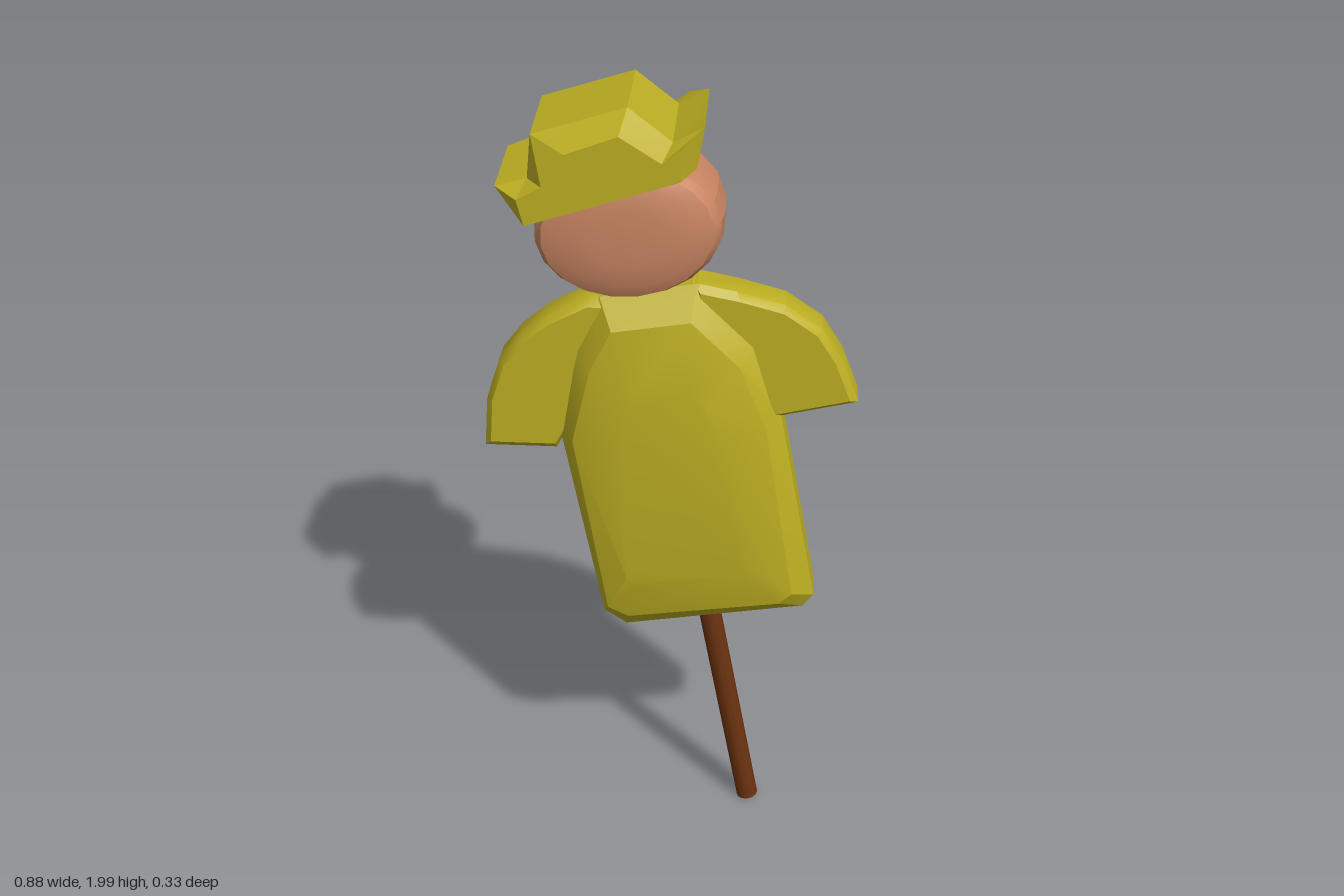
import * as THREE from 'three';
import { toCreasedNormals } from 'three/addons/utils/BufferGeometryUtils.js';

const cloth = new THREE.MeshStandardMaterial({ color: 0xbcae22 });
const skin = new THREE.MeshStandardMaterial({ color: 0xc98562 });
const wood = new THREE.MeshStandardMaterial({ color: 0x6b3210 });

// Closed slab, symmetric in z: layers of [z, counter-clockwise xy outline], from middle to front
function slab(name, layers, material, crease) {
  const rings = [...layers.map(([z, pts]) => [-z, pts]).reverse(), ...layers];
  const n = layers[0][1].length;
  const pos = [], index = [];
  rings.forEach(([z, pts]) => pts.forEach(([x, y]) => pos.push(x, y, z)));
  for (let i = 0; i < rings.length - 1; i++) {
    for (let j = 0; j < n; j++) {
      const a = i * n + j, b = i * n + (j + 1) % n;
      index.push(a, b, b + n, a, b + n, a + n);
    }
  }
  const outline = layers[layers.length - 1][1].map(([x, y]) => new THREE.Vector2(x, y));
  const front = (rings.length - 1) * n;
  for (const [a, b, c] of THREE.ShapeUtils.triangulateShape(outline, [])) {
    index.push(c, b, a, front + a, front + b, front + c);
  }
  const geo = new THREE.BufferGeometry();
  geo.setAttribute('position', new THREE.Float32BufferAttribute(pos, 3));
  geo.setIndex(index);
  const mesh = new THREE.Mesh(toCreasedNormals(geo, crease), material);
  mesh.name = name;
  return mesh;
}

// Shrink an outline towards its middle
function inset(pts, k) {
  const cx = pts.reduce((s, p) => s + p[0], 0) / pts.length;
  const cy = pts.reduce((s, p) => s + p[1], 0) / pts.length;
  return pts.map(([x, y]) => [cx + (x - cx) * k, cy + (y - cy) * k]);
}

export function createModel() {
  const group = new THREE.Group();

  // Leaning pole, running up through the shirt to the neck
  const foot = new THREE.Vector3(0.205, 0.01, 0);
  const neck = new THREE.Vector3(-0.075, 1.6, 0);
  const dir = neck.clone().sub(foot);
  const pole = new THREE.Mesh(new THREE.CylinderGeometry(0.028, 0.028, dir.length(), 12), wood);
  pole.name = 'pole';
  pole.position.copy(foot).add(neck).multiplyScalar(0.5);
  pole.quaternion.setFromUnitVectors(new THREE.Vector3(0, 1, 0), dir.normalize());
  group.add(pole);

  // Padded shirt body: rim, bevel, flat panel
  const rim = [[-0.165, 0.64], [-0.11, 0.6], [0.33, 0.675], [0.355, 0.71], [0.26, 1.22],
    [0.2, 1.42], [0.06, 1.56], [-0.16, 1.52], [-0.22, 1.4], [-0.26, 1.17]];
  const bevel = [[-0.15, 0.69], [-0.1, 0.665], [0.27, 0.72], [0.3, 0.75], [0.225, 1.22],
    [0.16, 1.38], [0.05, 1.49], [-0.13, 1.46], [-0.18, 1.36], [-0.225, 1.17]];
  const panel = [[-0.1, 0.8], [-0.08, 0.78], [0.18, 0.82], [0.2, 0.84], [0.125, 1.2],
    [0.09, 1.28], [0.05, 1.34], [-0.08, 1.32], [-0.1, 1.26], [-0.13, 1.17]];
  group.add(slab('shirt', [[0.04, rim], [0.097, bevel], [0.127, panel]], cloth, 0.4));

  // Short drooping sleeves
  const sleeves = {
    leftSleeve: [[0.05, 1.3], [0.18, 1.2], [0.275, 1.225], [0.435, 1.265], [0.395, 1.37],
      [0.345, 1.45], [0.26, 1.51], [0.15, 1.54], [0.05, 1.56]],
    rightSleeve: [[-0.1, 1.52], [-0.177, 1.52], [-0.28, 1.465], [-0.345, 1.41], [-0.395, 1.345],
      [-0.43, 1.24], [-0.44, 1.115], [-0.27, 1.115], [-0.235, 1.18], [-0.1, 1.25]],
  };
  for (const [name, pts] of Object.entries(sleeves)) {
    group.add(slab(name, [[0.035, pts], [0.055, inset(pts, 0.9)]], cloth, 0.6));
  }

  // Flattened round head, turned about the z axis
  const headProfile = [[0, -0.125], [0.4, -0.124], [0.72, -0.118], [0.9, -0.104], [0.97, -0.08], [1, -0.04],
    [1, 0.04], [0.97, 0.08], [0.9, 0.104], [0.72, 0.118], [0.4, 0.124], [0, 0.125]];
  const headGeo = new THREE.LatheGeometry(headProfile.map(([r, z]) => new THREE.Vector2(r, z)), 20);
  headGeo.rotateX(Math.PI / 2).scale(0.213, 0.164, 1).rotateZ(0.15);
  const head = new THREE.Mesh(toCreasedNormals(headGeo, 0.35), skin);
  head.name = 'head';
  head.position.set(-0.09, 1.703, 0);
  group.add(head);

  // Tilted hat with turned-up brim
  const hatMiddle = [[-0.373, 1.815], [-0.315, 1.743], [0.062, 1.868], [0.077, 1.96],
    [0.01, 1.925], [-0.085, 2], [-0.292, 1.935], [-0.302, 1.835]];
  const hatEnd = [[-0.32, 1.81], [-0.305, 1.75], [0.03, 1.86], [0.03, 1.93],
    [-0.01, 1.9], [-0.1, 1.958], [-0.215, 1.915], [-0.265, 1.84]];
  group.add(slab('hat', [[0.108, hatMiddle], [0.167, hatEnd]], cloth, 0.2));

  return group;
}
